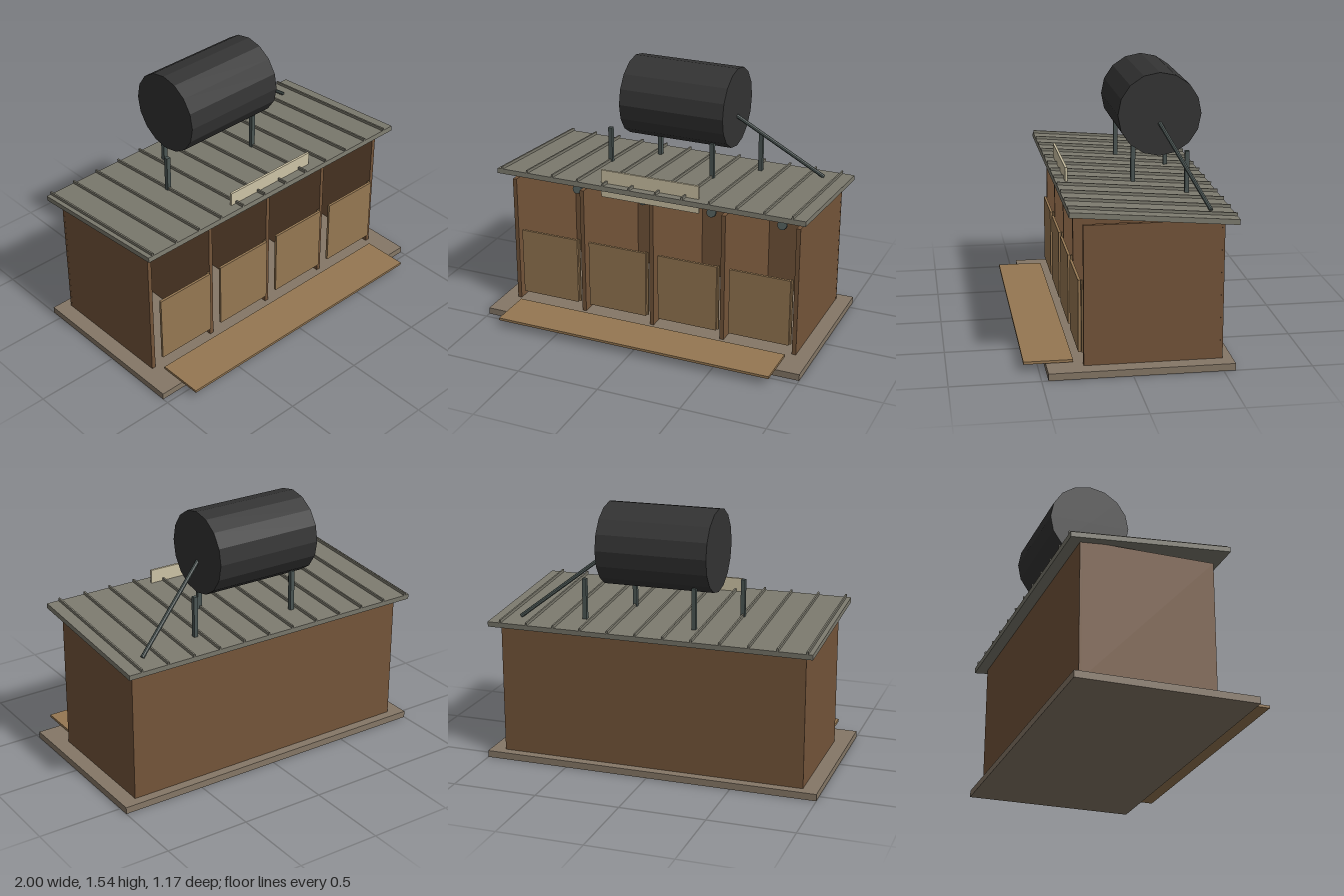
import * as THREE from 'three';

const mat = (color) => new THREE.MeshStandardMaterial({ color, flatShading: true });
const MAT = {
  stone: mat(0x857766), wall: mat(0x735439), door: mat(0x957752), roof: mat(0x7c7a6e),
  tank: mat(0x333333), metal: mat(0x4a5553), sign: mat(0xcdc3a5),
};

export function createModel() {
  const model = new THREE.Group();

  const add = (name, geometry, material, parent = model) => {
    const mesh = new THREE.Mesh(geometry, material);
    mesh.name = name;
    parent.add(mesh);
    return mesh;
  };
  // box given by its extents on each axis
  const box = (name, [x0, x1], [y0, y1], [z0, z1], material, parent) => {
    const mesh = add(name, new THREE.BoxGeometry(x1 - x0, y1 - y0, z1 - z0), material, parent);
    mesh.position.set((x0 + x1) / 2, (y0 + y1) / 2, (z0 + z1) / 2);
    return mesh;
  };
  // straight round pipe between two points
  const pipe = (name, a, b, radius, parent) => {
    const dir = b.clone().sub(a);
    const mesh = add(name, new THREE.CylinderGeometry(radius, radius, dir.length(), 8), MAT.metal, parent);
    mesh.position.copy(a).add(b).multiplyScalar(0.5);
    mesh.quaternion.setFromUnitVectors(new THREE.Vector3(0, 1, 0), dir.normalize());
    return mesh;
  };

  // ground slab and front walkway
  box('baseSlab', [-1, 1], [0, 0.04], [-0.567, 0.463], MAT.stone);
  box('walkway', [-0.86, 0.86], [0.045, 0.06], [0.312, 0.585], MAT.door);

  // back wall, end walls and stall dividers
  box('backWall', [-0.91, 0.91], [0.04, 0.835], [-0.512, -0.497], MAT.wall);
  [-0.897, -0.449, 0, 0.449, 0.897].forEach((x, i) => {
    const name = i % 4 === 0 ? 'endWall' : 'stallDivider';
    box(name, [x - 0.0125, x + 0.0125], [0.04, 0.835], [-0.497, 0.26], MAT.wall);
  });

  // stalls: half-height door with its rear batten, shower pipe and head
  for (let i = 0; i < 4; i++) {
    const x = -0.673 + i * 0.4487;
    const stall = new THREE.Group();
    stall.name = 'stall';
    stall.position.x = x;
    model.add(stall);
    box('door', [-0.173, 0.197], [0.105, 0.518], [0.27, 0.285], MAT.door, stall);
    box('doorBatten', [0.185, 0.207], [0.105, 0.518], [0.26, 0.268], MAT.door, stall);
    pipe('showerPipe', new THREE.Vector3(0, 0.66, -0.135), new THREE.Vector3(0, 0.865, -0.135), 0.008, stall);
    const head = add('showerHead', new THREE.CylinderGeometry(0.03, 0.03, 0.016, 12), MAT.metal, stall);
    head.position.set(0, 0.66, -0.12);
    head.rotation.x = 1.2;
  }

  // sloping roof with raised seams
  const roof = new THREE.Group();
  roof.name = 'roof';
  roof.position.set(0, 0.871, -0.12);
  roof.rotation.x = -0.084;
  model.add(roof);
  box('roofSheet', [-0.963, 0.963], [-0.015, 0.015], [-0.463, 0.463], MAT.roof, roof);
  for (let i = 0; i < 12; i++) {
    const x = -0.932 + i * 0.1652;
    box('roofSeam', [x - 0.005, x + 0.005], [0.015, 0.032], [-0.463, 0.463], MAT.roof, roof);
  }

  // blank sign board on the front eave
  box('signBoard', [-0.308, 0.305], [0.832, 1.0], [0.269, 0.283], MAT.sign);

  // water tank, its staggered posts and the outlet pipe
  const tank = add('waterTank', new THREE.CylinderGeometry(0.24, 0.24, 0.655, 16), MAT.tank);
  tank.position.set(-0.002, 1.296, -0.257);
  tank.rotation.z = Math.PI / 2;
  for (const [x, z, y] of [[-0.435, -0.12, 0.885], [0.225, -0.12, 0.885], [-0.23, -0.395, 0.865], [0.43, -0.395, 0.865]]) {
    box('tankPost', [x - 0.0125, x + 0.0125], [y, 1.105], [z - 0.0125, z + 0.0125], MAT.metal);
  }
  pipe('outletPipe', new THREE.Vector3(0.32, 1.245, -0.258), new THREE.Vector3(0.808, 0.862, -0.455), 0.012);

  return model;
}
